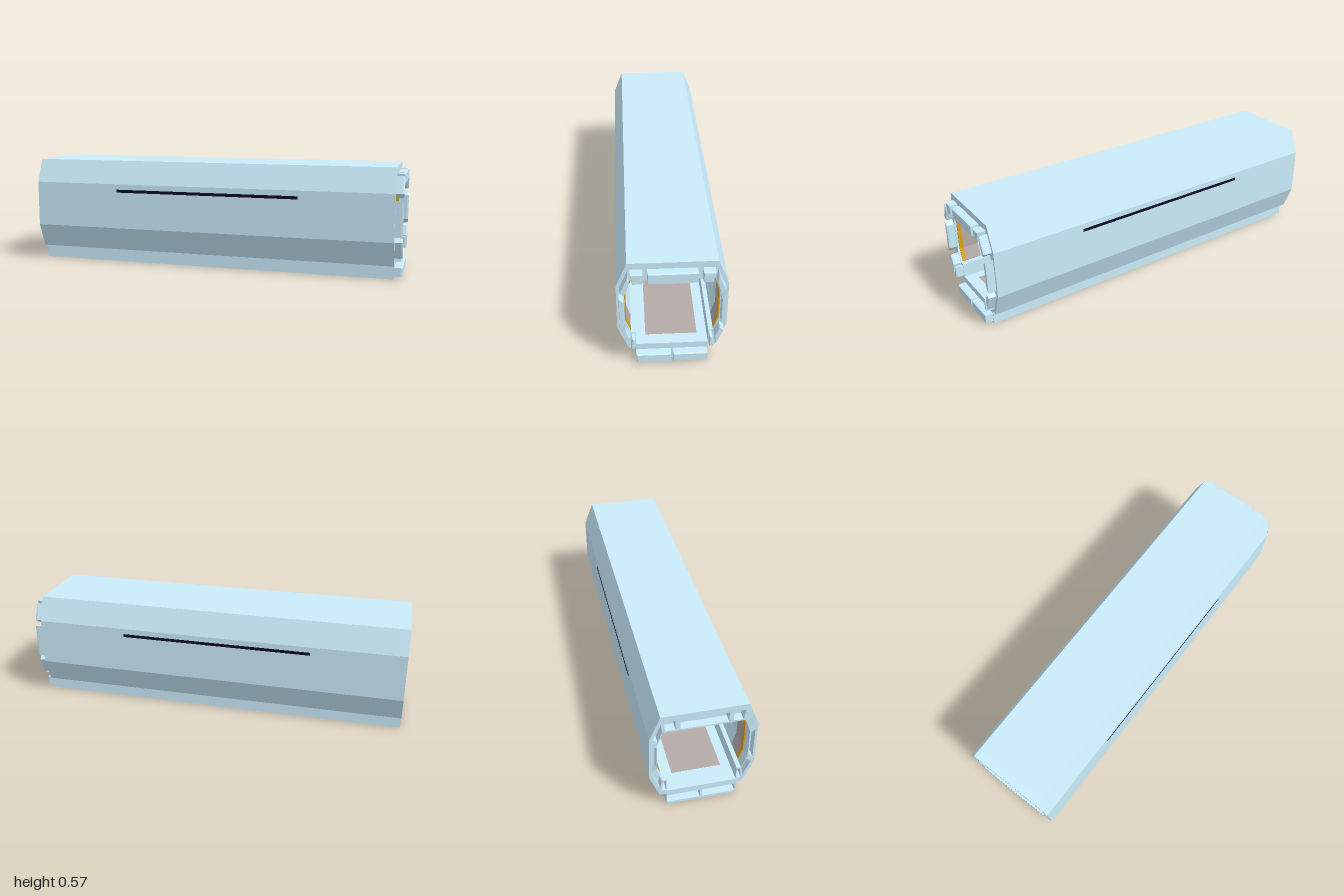
import * as THREE from 'three';

const mat = (color) => new THREE.MeshStandardMaterial({ color, flatShading: true });
const hullMat = mat(0xcaecfb);
const goldMat = mat(0xdca212);
const panelMat = mat(0xb5aaa7);
const stripMat = mat(0x0b0b26);

// Half profiles as [z, y]; mirrored across z = 0 into a closed loop
const mirrorZ = (loop) => loop.map(([z, y]) => [-z, y]);
const mirrorLoop = (half) => [...half, ...mirrorZ(half).reverse()];

const OUTER = mirrorLoop([
  [0.167, 0], [0.167, 0.073], [0.199, 0.073],
  [0.248, 0.2], [0.248, 0.442], [0.199, 0.567],
]);
const INNER = mirrorLoop([
  [0.166, 0.093], [0.166, 0.168], [0.187, 0.168], [0.212, 0.24],
  [0.212, 0.4], [0.187, 0.474], [0.08, 0.473],
]);

// Connector outlines on the +z half, and the one on the centre line
const SIDE_TABS = [
  [[0.185, 0.535], [0.131, 0.535], [0.131, 0.483], [0.176, 0.481]],
  [[0.197, 0.525], [0.19, 0.478], [0.21, 0.42], [0.232, 0.44]],
  [[0.237, 0.406], [0.215, 0.385], [0.215, 0.253], [0.237, 0.23]],
  [[0.232, 0.2], [0.211, 0.22], [0.19, 0.168], [0.197, 0.114]],
  [[0.182, 0.16], [0.169, 0.16], [0.169, 0.101], [0.189, 0.101]],
  [[0.164, 0.06], [0.005, 0.06], [0.005, 0.014], [0.164, 0.014]],
];
const TOP_TAB = [[0.11, 0.535], [-0.11, 0.535], [-0.11, 0.482], [0, 0.479], [0.11, 0.482]];
const TABS = [TOP_TAB, ...SIDE_TABS, ...SIDE_TABS.map(mirrorZ)];

// Counter-clockwise points, so that outer and hole walls face the right way
function toPoints(loop) {
  const points = loop.map(([z, y]) => new THREE.Vector2(-z, y));
  return THREE.ShapeUtils.isClockWise(points) ? points.reverse() : points;
}

// Extrude a z-y outline along x from x0 to x1
function extrudeX(outline, holes, x0, x1, bevel = 0) {
  const shape = new THREE.Shape(toPoints(outline));
  shape.holes = holes.map((h) => new THREE.Path(toPoints(h)));
  const geo = new THREE.ExtrudeGeometry(shape, {
    depth: x1 - x0 - bevel, bevelEnabled: bevel > 0, bevelThickness: bevel,
    bevelSize: 0.003, bevelOffset: -0.003, bevelSegments: 1,
  });
  geo.rotateY(Math.PI / 2);
  geo.translate(x0, 0, 0);
  return geo;
}

export function createModel() {
  const model = new THREE.Group();
  model.name = 'hullSection';
  const add = (parent, name, geo, material) => {
    const mesh = new THREE.Mesh(geo, material);
    mesh.name = name;
    parent.add(mesh);
    return mesh;
  };
  const group = (name) => {
    const g = new THREE.Group();
    g.name = name;
    model.add(g);
    return g;
  };

  // Hollow hull, with a socketed ring at the -x end
  add(model, 'hullShell', extrudeX(OUTER, [INNER], -0.96, 0.96), hullMat);
  add(model, 'socketRing', extrudeX(OUTER, [INNER, ...TABS], -1, -0.96), hullMat);

  // Connector tabs at the +x end
  const tabs = group('connectorTabs');
  TABS.forEach((t) => add(tabs, 'connectorTab', extrudeX(t, [], 0.95, 1, 0.008), hullMat));

  // Dark strip along each side
  const strips = group('sideStrips');
  for (const s of [-1, 1]) {
    const strip = add(strips, 'sideStrip', new THREE.BoxGeometry(1, 0.016, 0.004), stripMat);
    strip.position.set(-0.02, 0.405, s * 0.2465);
  }

  // Wall frames inside, near both ends: gold strip, plain band and roof gusset
  const wall = [
    [0.189, 0.172], [0.213, 0.24], [0.213, 0.4], [0.188, 0.474],
    [0.183, 0.463], [0.207, 0.4], [0.207, 0.24], [0.187, 0.174],
  ];
  const gusset = [[0.188, 0.474], [0.13, 0.474], [0.183, 0.463]];
  const frames = group('innerFrames');
  for (const end of [-1, 1]) {
    const span = (a, b) => (end > 0 ? [a, b] : [-b, -a]);
    for (const side of [-1, 1]) {
      const place = (loop) => (side > 0 ? loop : mirrorZ(loop));
      add(frames, 'goldFrame', extrudeX(place(wall), [], ...span(0.93, 0.95)), goldMat);
      add(frames, 'wallBand', extrudeX(place(wall), [], ...span(0.85, 0.93)), panelMat);
      add(frames, 'roofGusset', extrudeX(place(gusset), [], ...span(0.85, 0.95)), side > 0 ? goldMat : hullMat);
    }
  }

  // Floor panel
  add(model, 'floorPanel', new THREE.BoxGeometry(1.8, 0.002, 0.24), panelMat).position.set(0, 0.0925, 0);

  return model;
}
